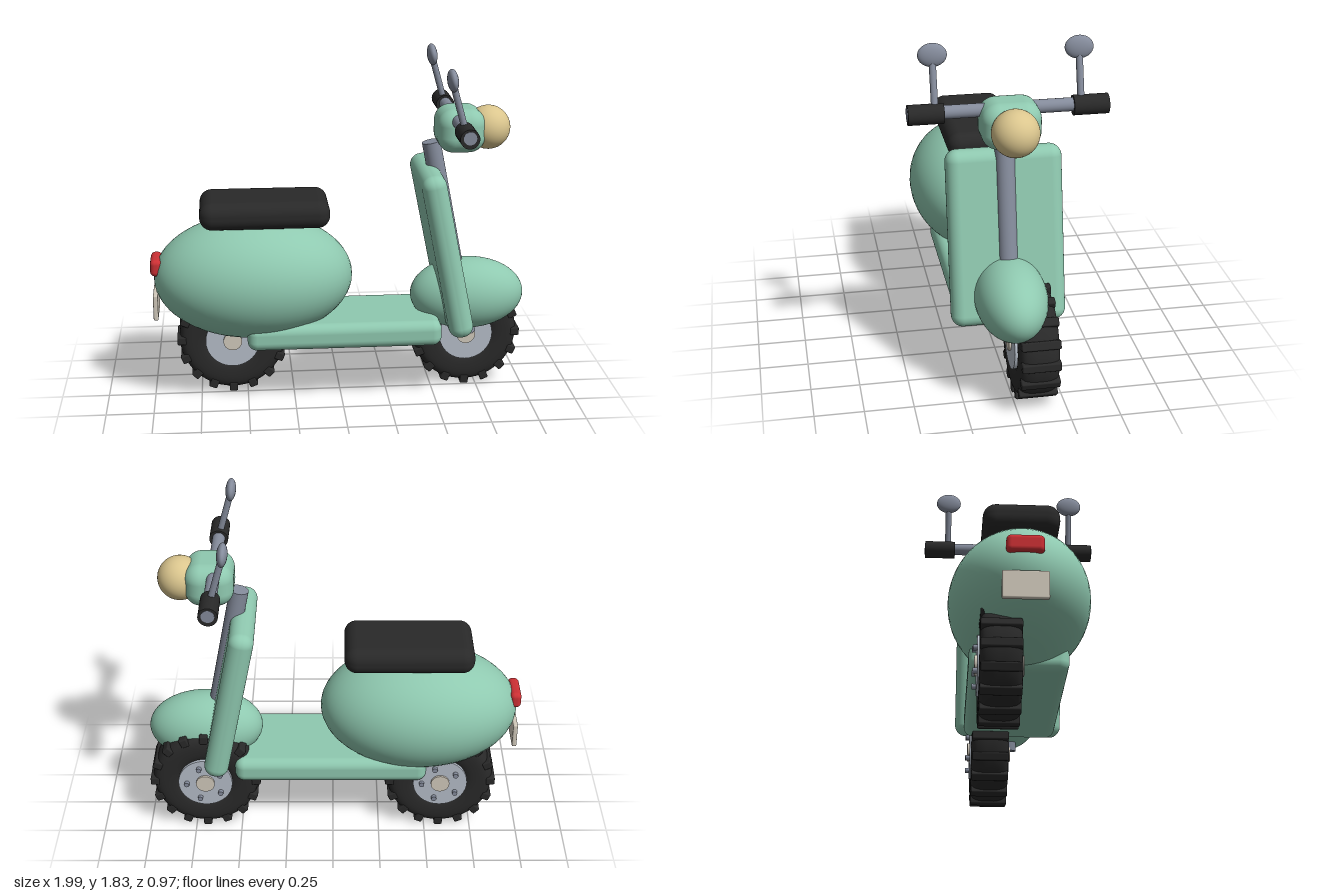
import * as THREE from 'three';
import { RoundedBoxGeometry } from 'three/addons/geometries/RoundedBoxGeometry.js';

const mat = (name, color) => {
  const m = new THREE.MeshStandardMaterial({ color });
  m.name = name;
  return m;
};

export function createModel() {
  const mint = mat('mint paint', 0x8fc9b0);
  const black = mat('black rubber', 0x292929);
  const steel = mat('grey steel', 0x858c9c);
  const silver = mat('pale rim', 0xb6bec9);
  const cream = mat('cream trim', 0xd2cabc);
  const amber = mat('lamp glass', 0xdbc68e);
  const red = mat('tail red', 0xcc3034);

  const model = new THREE.Group();
  model.name = 'scooter';

  const add = (name, geo, material, x, y, z, parent = model) => {
    const mesh = new THREE.Mesh(geo, material);
    mesh.name = name;
    mesh.position.set(x, y, z);
    parent.add(mesh);
    return mesh;
  };
  const rounded = (w, h, d, r) => new RoundedBoxGeometry(w, h, d, 6, r);
  const ellipsoid = (a, b, c) => new THREE.SphereGeometry(1, 48, 32).scale(a, b, c);
  const zCylinder = (r, len, n = 32) => new THREE.CylinderGeometry(r, r, len, n).rotateX(Math.PI / 2);
  // Cylinder between two points
  const rod = (name, from, to, r, material) => {
    const a = new THREE.Vector3(...from), b = new THREE.Vector3(...to);
    const dir = b.clone().sub(a), mid = a.clone().add(b).multiplyScalar(0.5);
    const mesh = add(name, new THREE.CylinderGeometry(r, r, dir.length(), 24), material, mid.x, mid.y, mid.z);
    mesh.quaternion.setFromUnitVectors(new THREE.Vector3(0, 1, 0), dir.normalize());
    return mesh;
  };

  // Bodywork
  add('rearBody', ellipsoid(0.525, 0.33, 0.352), mint, -0.46, 0.67, 0);
  add('frontFender', ellipsoid(0.305, 0.195, 0.18), mint, 0.685, 0.54, 0);
  add('floorboard', rounded(1.025, 0.14, 0.49, 0.05), mint, 0.012, 0.39, 0);
  add('legShield', rounded(0.13, 0.9, 0.58, 0.06), mint, 0.543, 0.815, 0).rotation.z = 0.2;
  add('seat', rounded(0.675, 0.145, 0.38, 0.065), black, -0.398, 1.037, 0);

  // Steering
  rod('steeringColumn', [0.69, 0.31, 0], [0.478, 1.38, 0], 0.049, steel);
  add('headset', rounded(0.25, 0.23, 0.29, 0.085), mint, 0.625, 1.45, 0);
  add('headlight', ellipsoid(0.115, 0.115, 0.115), amber, 0.776, 1.452, 0);
  add('handlebar', zCylinder(0.033, 0.972), steel, 0.598, 1.51, 0);
  for (const s of [1, -1]) {
    const side = s > 0 ? 'Front' : 'Back';
    add('grip' + side, zCylinder(0.049, 0.172), black, 0.598, 1.505, s * 0.397);
    rod('mirrorStem' + side, [0.598, 1.51, s * 0.352], [0.53, 1.75, s * 0.352], 0.017, steel);
    add('mirror' + side, ellipsoid(0.027, 0.057, 0.07), steel, 0.527, 1.772, s * 0.352).rotation.z = 0.1;
  }

  // Tail
  add('tailLight', rounded(0.06, 0.09, 0.18, 0.025), red, -0.97, 0.745, 0);
  add('numberPlate', rounded(0.025, 0.14, 0.22, 0.008), cream, -0.977, 0.536, 0);

  // Wheels: tyre, tread bars, rim, cap and wheel bolts
  const tyreProfile = new THREE.SplineCurve([
    [0.135, -0.085], [0.17, -0.098], [0.23, -0.1], [0.268, -0.085], [0.284, -0.045],
    [0.286, 0], [0.284, 0.045], [0.268, 0.085], [0.23, 0.1], [0.17, 0.098], [0.135, 0.085],
  ].map(p => new THREE.Vector2(...p))).getPoints(32);
  const tyreGeo = new THREE.LatheGeometry(tyreProfile, 48).rotateX(Math.PI / 2);
  const barGeo = rounded(0.045, 0.05, 0.196, 0.008);
  const boltGeo = zCylinder(0.014, 0.03, 12);
  for (const [name, x] of [['rearWheel', -0.578], ['frontWheel', 0.688]]) {
    const wheel = new THREE.Group();
    wheel.name = name;
    wheel.position.set(x, 0.298, -0.102);
    model.add(wheel);
    add('tyre', tyreGeo, black, 0, 0, 0, wheel);
    add('rim', zCylinder(0.145, 0.214, 40), silver, 0, 0, 0, wheel);
    add('hubCap', zCylinder(0.05, 0.236), cream, 0, 0, 0, wheel);
    for (let i = 0; i < 16; i++) {
      const a = (i / 16) * Math.PI * 2;
      const bar = add('treadBar', barGeo, black, 0.272 * Math.cos(a), 0.272 * Math.sin(a), 0, wheel);
      bar.rotation.z = a - Math.PI / 2;
    }
    for (let i = 0; i < 5; i++) {
      const a = (i / 5) * Math.PI * 2;
      add('wheelBolt', boltGeo, steel, 0.1 * Math.cos(a), 0.1 * Math.sin(a), -0.113, wheel);
    }
  }
  return model;
}
